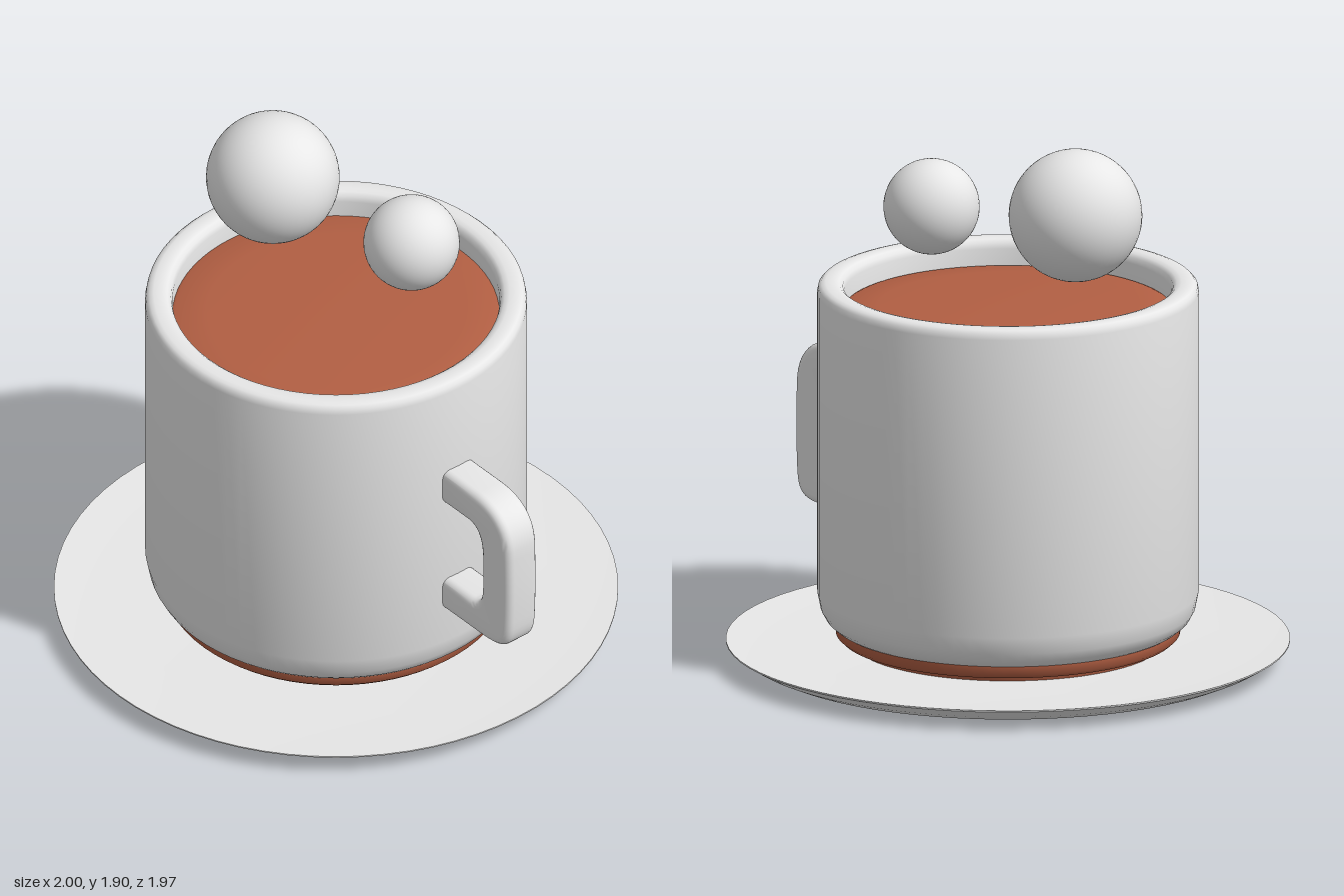
import * as THREE from 'three';
import { toCreasedNormals } from 'three/addons/utils/BufferGeometryUtils.js';

const CENTER_X = -0.018;

// Revolved part from [radius, height] pairs, listed from the bottom up the outside
function lathe(name, profile, material) {
  const points = profile.map(([r, y]) => new THREE.Vector2(r, y));
  const geometry = toCreasedNormals(new THREE.LatheGeometry(points, 72), 0.95);
  const mesh = new THREE.Mesh(geometry, material);
  mesh.name = name;
  mesh.position.x = CENTER_X;
  return mesh;
}

function ball(name, radius, x, y, z, material) {
  const mesh = new THREE.Mesh(new THREE.SphereGeometry(radius, 48, 32), material);
  mesh.name = name;
  mesh.position.set(x, y, z);
  return mesh;
}

// C-shaped handle with softened edges; its ends are buried in the mug wall
function makeHandle(material) {
  const shape = new THREE.Shape();
  shape.moveTo(0.61, 0.39);
  shape.lineTo(0.87, 0.39);
  shape.bezierCurveTo(0.96, 0.395, 0.985, 0.415, 0.993, 0.49);
  shape.bezierCurveTo(1.0, 0.6, 1.0, 0.7, 0.995, 0.83);
  shape.bezierCurveTo(0.985, 0.93, 0.92, 0.985, 0.81, 0.988);
  shape.lineTo(0.61, 0.988);
  shape.lineTo(0.61, 0.85);
  shape.lineTo(0.78, 0.85);
  shape.bezierCurveTo(0.83, 0.845, 0.845, 0.8, 0.845, 0.71);
  shape.bezierCurveTo(0.845, 0.63, 0.845, 0.6, 0.84, 0.565);
  shape.bezierCurveTo(0.83, 0.53, 0.82, 0.52, 0.78, 0.52);
  shape.lineTo(0.61, 0.52);
  shape.closePath();
  const bevel = 0.03;
  const geometry = new THREE.ExtrudeGeometry(shape, {
    depth: 0.14 - 2 * bevel, curveSegments: 10,
    bevelThickness: bevel, bevelSize: bevel, bevelOffset: -bevel, bevelSegments: 5,
  });
  geometry.translate(0, 0, -0.07 + bevel);
  const mesh = new THREE.Mesh(toCreasedNormals(geometry, 0.8), material);
  mesh.name = 'handle';
  return mesh;
}

export function createModel() {
  const china = new THREE.MeshStandardMaterial({ color: 0xe7e7e7 });
  china.name = 'white china';
  const cocoa = new THREE.MeshStandardMaterial({ color: 0xb25f43 });
  cocoa.name = 'brown drink';

  const model = new THREE.Group();
  model.name = 'mugOnSaucer';

  // Shallow dish with a thin rim
  model.add(lathe('saucer', [
    [0, 0], [0.77, 0], [0.83, 0.006], [0.88, 0.016], [0.93, 0.038],
    [0.983, 0.07], [0.983, 0.075], [0.9, 0.071], [0.75, 0.067], [0, 0.06],
  ], china));

  // Mug wall, rounded at the foot and lip, running down inside the drink
  model.add(lathe('mug', [
    [0, 0.127], [0.595, 0.127], [0.612, 0.137], [0.635, 0.157], [0.653, 0.19],
    [0.665, 0.25], [0.665, 1.325], [0.661, 1.345], [0.65, 1.356], [0.635, 1.36],
    [0.605, 1.36], [0.588, 1.356], [0.575, 1.345], [0.57, 1.325], [0.57, 1.2],
  ], china));

  // Drink, also showing as a thin band under the mug
  model.add(lathe('drink', [
    [0, 0.05], [0.54, 0.05], [0.55, 0.082], [0.585, 0.086], [0.6, 0.1],
    [0.602, 0.13], [0.602, 1.23], [0.59, 1.255], [0.56, 1.268], [0.45, 1.275], [0, 1.28],
  ], cocoa));

  model.add(makeHandle(china));

  // Steam puffs floating above the mug
  model.add(ball('largeSteamPuff', 0.233, -0.36, 1.665, 0, china));
  model.add(ball('smallSteamPuff', 0.168, 0.195, 1.62, -0.165, china));

  return model;
}
